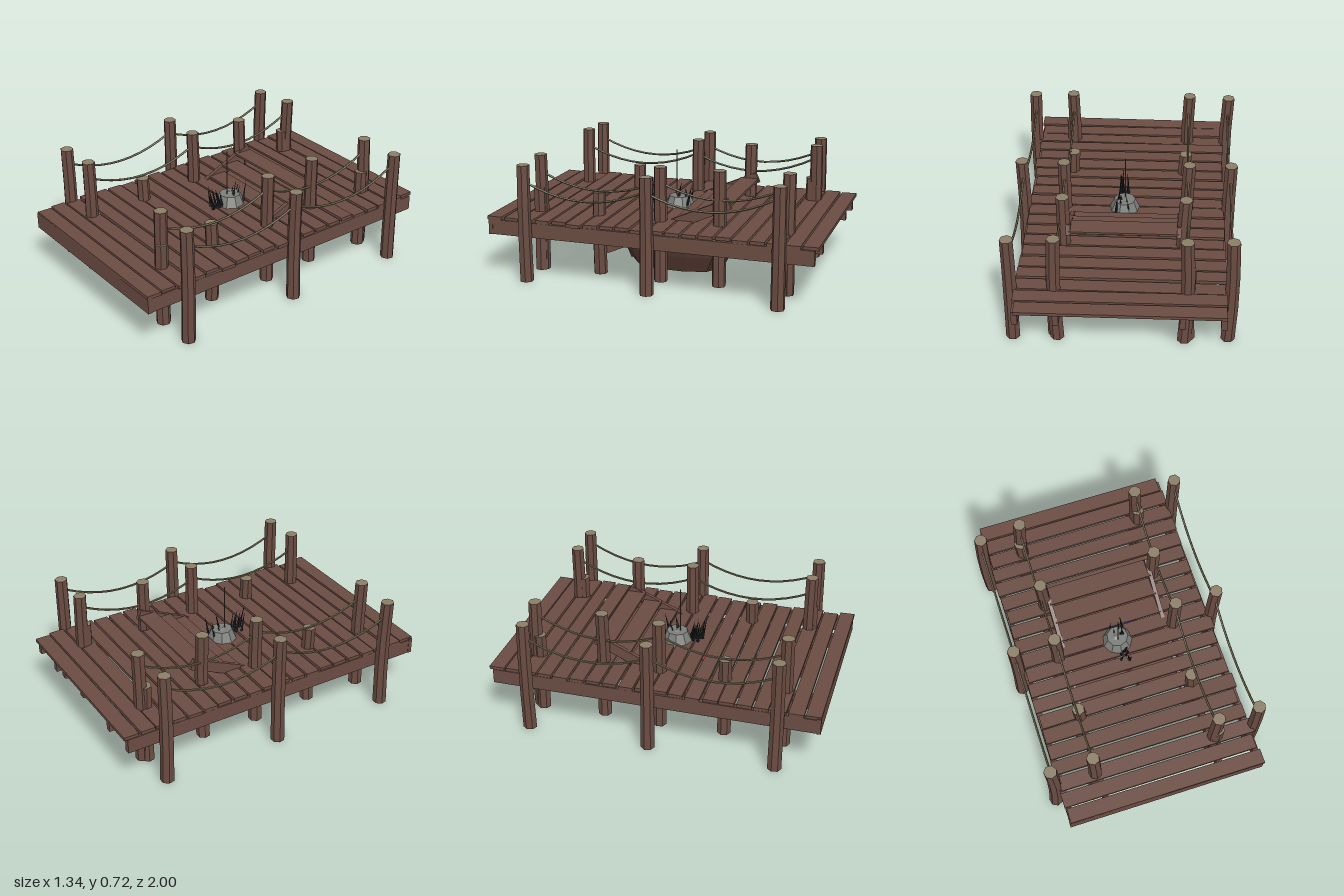
import * as THREE from 'three';

const mat = (color, side = THREE.FrontSide) =>
  new THREE.MeshStandardMaterial({ color, flatShading: true, side });
const WOOD = mat(0x6a4c42), BOAT = mat(0x50362f, THREE.DoubleSide), CUT = mat(0x8c7e68),
  ROPE = mat(0x736a50), GREY = mat(0x7c7e7a), DARK = mat(0x1d2126);

// small seeded generator, returns -1..1
let seed = 7;
const jitter = () => {
  seed = (seed * 16807) % 2147483647;
  return (seed / 2147483647) * 2 - 1;
};

function add(parent, name, geometry, material, x = 0, y = 0, z = 0) {
  const mesh = new THREE.Mesh(geometry, material);
  mesh.name = name;
  mesh.position.set(x, y, z);
  parent.add(mesh);
  return mesh;
}

const box = (parent, name, w, h, d, x, y, z) =>
  add(parent, name, new THREE.BoxGeometry(w, h, d), WOOD, x, y, z);

// slightly crooked seven-sided log with a pale cut end
function post(parent, x, z, height) {
  const geo = new THREE.CylinderGeometry(0.039, 0.042, height, 7, 3);
  const p = geo.attributes.position;
  const bend = jitter() * 0.008;
  for (let i = 0; i < p.count; i++) {
    const t = p.getY(i) / height;
    p.setX(i, p.getX(i) + bend * Math.cos(t * 5));
  }
  geo.computeVertexNormals();
  add(parent, 'post', geo, [WOOD, CUT, CUT], x, height / 2, z).rotation.y = 0;
}

// hanging rope between two posts
function rope(parent, x, z0, y0, z1, y1) {
  const curve = new THREE.QuadraticBezierCurve3(
    new THREE.Vector3(x, y0, z0),
    new THREE.Vector3(x, 0.43, (z0 + z1) / 2),
    new THREE.Vector3(x, y1, z1));
  add(parent, 'rope', new THREE.TubeGeometry(curve, 10, 0.007, 5), ROPE);
}

// hull skinned from closed plan outlines stacked in height
function hullGeometry() {
  const half = [[0.035, 0.36], [0.14, 0.28], [0.21, 0.1], [0.215, -0.12], [0.17, -0.28], [0.07, -0.36]];
  const outline = [...half, ...half.map(([x, z]) => [-x, z]).reverse()];
  // height, width scale, length scale: outer side, rim, inner side
  const levels = [[0, 0.02, 0.02], [0, 0.84, 0.8], [0.1, 0.97, 0.96], [0.155, 1, 1],
    [0.155, 0.9, 0.92], [0.05, 0.8, 0.8], [0.04, 0.02, 0.02]];
  const pos = [], index = [], n = outline.length;
  for (const [y, sx, sz] of levels) for (const [x, z] of outline) pos.push(x * sx, y, z * sz);
  for (let l = 0; l < levels.length - 1; l++) {
    for (let i = 0; i < n; i++) {
      const a = l * n + i, b = l * n + (i + 1) % n;
      index.push(a, a + n, b, b, a + n, b + n);
    }
  }
  const geo = new THREE.BufferGeometry();
  geo.setAttribute('position', new THREE.Float32BufferAttribute(pos, 3));
  geo.setIndex(index);
  geo.computeVertexNormals();
  return geo;
}

export function createModel() {
  const model = new THREE.Group();
  model.name = 'dock';
  seed = 7;
  const group = (name) => {
    const g = new THREE.Group();
    g.name = name;
    model.add(g);
    return g;
  };

  // deck planks, uneven in length and tilt
  const deck = group('deck');
  for (let i = 0; i < 20; i++) {
    const plank = box(deck, 'plank', 1.2 + jitter() * 0.012, 0.02, 0.087 + jitter() * 0.005,
      jitter() * 0.013, 0.362 + jitter() * 0.003, -0.955 + i * 0.1005);
    plank.rotation.set(jitter() * 0.02, jitter() * 0.006, jitter() * 0.004);
  }

  // lengthwise beams and front fascia
  const frame = group('frame');
  for (const x of [-0.585, -0.355, 0.355, 0.585]) {
    box(frame, 'beam', 0.035, 0.09, 1.96, x, 0.307, 0);
  }
  box(frame, 'frontFascia', 1.21, 0.1, 0.025, 0, 0.311, 0.985);

  // posts
  const posts = group('posts');
  for (const s of [-1, 1]) {
    post(posts, s * 0.627, s < 0 ? -0.755 : -0.785, 0.71);
    post(posts, s * 0.627, -0.01, 0.7);
    post(posts, s * 0.627, 0.75, 0.71);
    post(posts, s * 0.375, -0.78, 0.72);
    post(posts, s * 0.375, -0.01, 0.7);
    post(posts, s * 0.375, 0.75, 0.72);
    post(posts, s * 0.355, -0.365, 0.7);
    post(posts, s * 0.355, 0.385, 0.51);
    post(posts, s * 0.385, -0.755, 0.51);
  }
  post(posts, 0.385, 0.757, 0.52);

  // four rope lines of two swags
  const ropes = group('ropes');
  for (const x of [-0.63, -0.375, 0.375, 0.625]) {
    rope(ropes, x, 0.74, 0.61, 0, 0.61);
    rope(ropes, x, 0, 0.61, -0.76, 0.63);
  }

  // stairs rising to the back
  const stairs = group('stairs');
  const slope = Math.atan2(0.33, 0.74);
  for (const s of [-1, 1]) {
    box(stairs, 'stringer', 0.025, 0.065, 0.85, s * 0.325, 0.325, -0.03).rotation.x = slope;
  }
  for (let i = 0; i < 7; i++) {
    box(stairs, 'tread', 0.65, 0.014, 0.115, 0, 0.19 + i * 0.049, 0.27 - i * 0.106);
  }

  // moored boat with stem and benches
  const boat = group('boat');
  add(boat, 'hull', hullGeometry(), BOAT);
  const stem = add(boat, 'stem', new THREE.BoxGeometry(0.055, 0.165, 0.02), BOAT, 0, 0.083, 0.33);
  stem.rotation.x = 0.42;
  for (const z of [-0.17, 0.17]) {
    add(boat, 'bench', new THREE.BoxGeometry(0.35, 0.018, 0.07), BOAT, 0, 0.135, z);
  }

  // heap of bundles in the boat: x, y, z, radii, color
  const cargo = group('cargo');
  const bundles = [
    [0, 0.28, -0.01, 0.1, 0.165, 0.1, 0x7c7e7a],
    [0, 0.18, 0.19, 0.12, 0.06, 0.09, 0x2f4633],
    [0.08, 0.2, -0.17, 0.07, 0.07, 0.07, 0x2742a0],
    [0.05, 0.19, -0.25, 0.08, 0.06, 0.06, 0x8f7a45],
    [-0.1, 0.2, 0.05, 0.08, 0.08, 0.1, 0x8a8b84],
    [0.1, 0.19, 0.08, 0.06, 0.06, 0.09, 0x4a4f52],
    [0.03, 0.24, 0.13, 0.04, 0.03, 0.04, 0xa83238],
    [-0.08, 0.2, -0.18, 0.08, 0.07, 0.11, 0x3d4247],
    [-0.12, 0.18, 0.17, 0.04, 0.03, 0.05, 0x2c3f8a],
    [0, 0.25, 0.11, 0.04, 0.03, 0.03, 0x7b2f6b],
  ];
  for (const [x, y, z, rx, ry, rz, color] of bundles) {
    const b = add(cargo, 'bundle', new THREE.SphereGeometry(1, 9, 6), mat(color), x, y, z);
    b.scale.set(rx, ry, rz);
  }
  add(cargo, 'cap', new THREE.CylinderGeometry(0.065, 0.095, 0.07, 9), GREY, 0.01, 0.4, -0.01);

  // dark spikes and the thin pole
  const spikes = group('spikes');
  for (let i = 0; i < 16; i++) {
    const front = i < 9;
    const h = 0.13 + jitter() * 0.04;
    const spike = add(spikes, 'spike', new THREE.ConeGeometry(0.009, h, 4), DARK,
      0.02 + jitter() * 0.04, 0.38 + h / 2, front ? 0.12 + jitter() * 0.04 : -0.05 + jitter() * 0.04);
    spike.rotation.set(front ? 0.2 : -0.2, 0, jitter() * 0.12);
  }
  add(spikes, 'pole', new THREE.CylinderGeometry(0.003, 0.004, 0.32, 5), WOOD, 0.007, 0.56, 0.01);

  return model;
}
